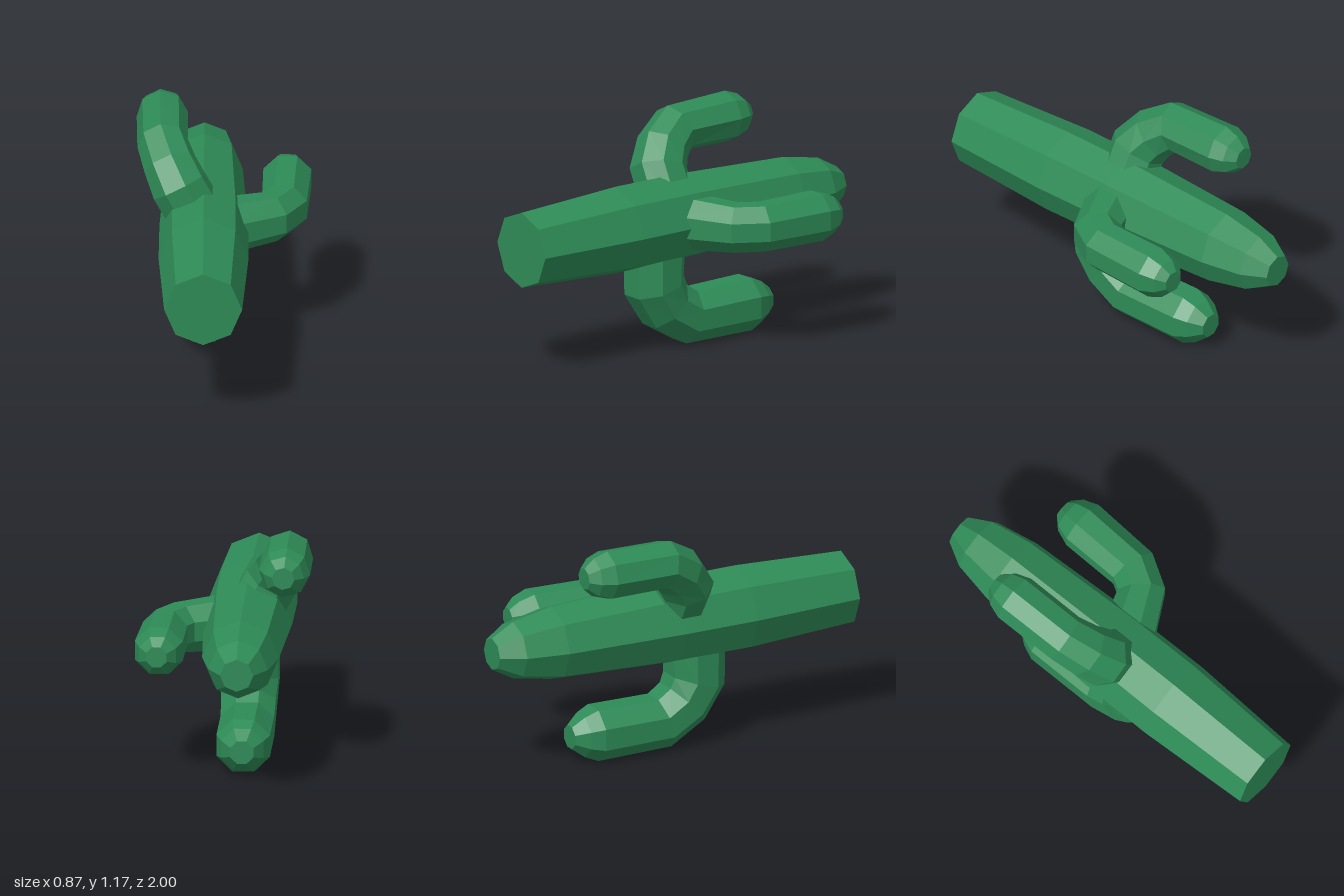
import * as THREE from 'three';

const SIDES = 8;
const CENTRE = new THREE.Vector3(-0.1, 0.658, 0); // trunk axis, running along z

// Octagonal tube through rings [distance from trunk axis, z, half width],
// bending in the plane of the given outward direction and the z axis.
function armGeometry(angle, rings) {
  const out = new THREE.Vector3(Math.cos(angle), Math.sin(angle), 0);
  const side = new THREE.Vector3(-out.y, out.x, 0);
  const centres = rings.map(([d, z]) => CENTRE.clone().addScaledVector(out, d).setZ(z));
  const last = rings.length - 1;
  const positions = [];
  const index = [];
  centres.forEach((c, i) => {
    const before = c.clone().sub(centres[Math.max(i - 1, 0)]).normalize();
    const after = centres[Math.min(i + 1, last)].clone().sub(c).normalize();
    const tangent = before.add(after).normalize();
    const v = new THREE.Vector3().crossVectors(tangent, side);
    const r = rings[i][2] / Math.cos(Math.PI / SIDES);
    for (let j = 0; j < SIDES; j++) {
      const t = ((j + 0.5) / SIDES) * Math.PI * 2;
      const p = c.clone().addScaledVector(side, r * Math.cos(t)).addScaledVector(v, r * Math.sin(t));
      positions.push(p.x, p.y, p.z);
      const k = (j + 1) % SIDES;
      const a = i * SIDES;
      if (i < last) index.push(a + j, a + k, a + SIDES + j, a + k, a + SIDES + k, a + SIDES + j);
      else if (j > 0 && j < SIDES - 1) index.push(a, a + j, a + j + 1); // flat tip
    }
  });
  const geometry = new THREE.BufferGeometry();
  geometry.setAttribute('position', new THREE.Float32BufferAttribute(positions, 3));
  geometry.setIndex(index);
  const flat = geometry.toNonIndexed();
  flat.computeVertexNormals();
  return flat;
}

export function createModel() {
  const group = new THREE.Group();
  group.name = 'cactus';
  const material = new THREE.MeshStandardMaterial({ color: 0x2e8b57, flatShading: true });
  const add = (name, geometry) => {
    const mesh = new THREE.Mesh(geometry, material);
    mesh.name = name;
    group.add(mesh);
    return mesh;
  };

  // Trunk: eight-sided, lying along z with its tapered tip at the back
  const profile = [
    [0, -1], [0.195, -1], [0.225, -0.4], [0.222, 0],
    [0.192, 0.66], [0.15, 0.88], [0.083, 1], [0, 1],
  ].map(([r, y]) => new THREE.Vector2(r, y));
  const trunk = add('trunk', new THREE.LatheGeometry(profile, SIDES).rotateX(-Math.PI / 2));
  trunk.position.copy(CENTRE);

  // Arms: leave the trunk sideways, then bend towards the tip
  add('lowerArm', armGeometry(-Math.PI / 2, [
    [0.1, 0.157, 0.147], [0.328, 0.157, 0.147], [0.44, 0.09, 0.137], [0.52, -0.04, 0.134],
    [0.52, -0.42, 0.134], [0.52, -0.49, 0.106], [0.52, -0.555, 0.058],
  ]));
  add('leftArm', armGeometry(0, [
    [0.08, 0.02, 0.135], [0.335, -0.097, 0.118], [0.402, -0.21, 0.117],
    [0.415, -0.55, 0.12], [0.417, -0.63, 0.093], [0.42, -0.675, 0.052],
  ]));
  add('upperArm', armGeometry(Math.PI / 2 + 0.49, [
    [0.06, 0.035, 0.135], [0.26, 0.035, 0.135], [0.36, -0.03, 0.125], [0.44, -0.135, 0.118],
    [0.445, -0.465, 0.119], [0.445, -0.54, 0.095], [0.445, -0.59, 0.053],
  ]));
  return group;
}
